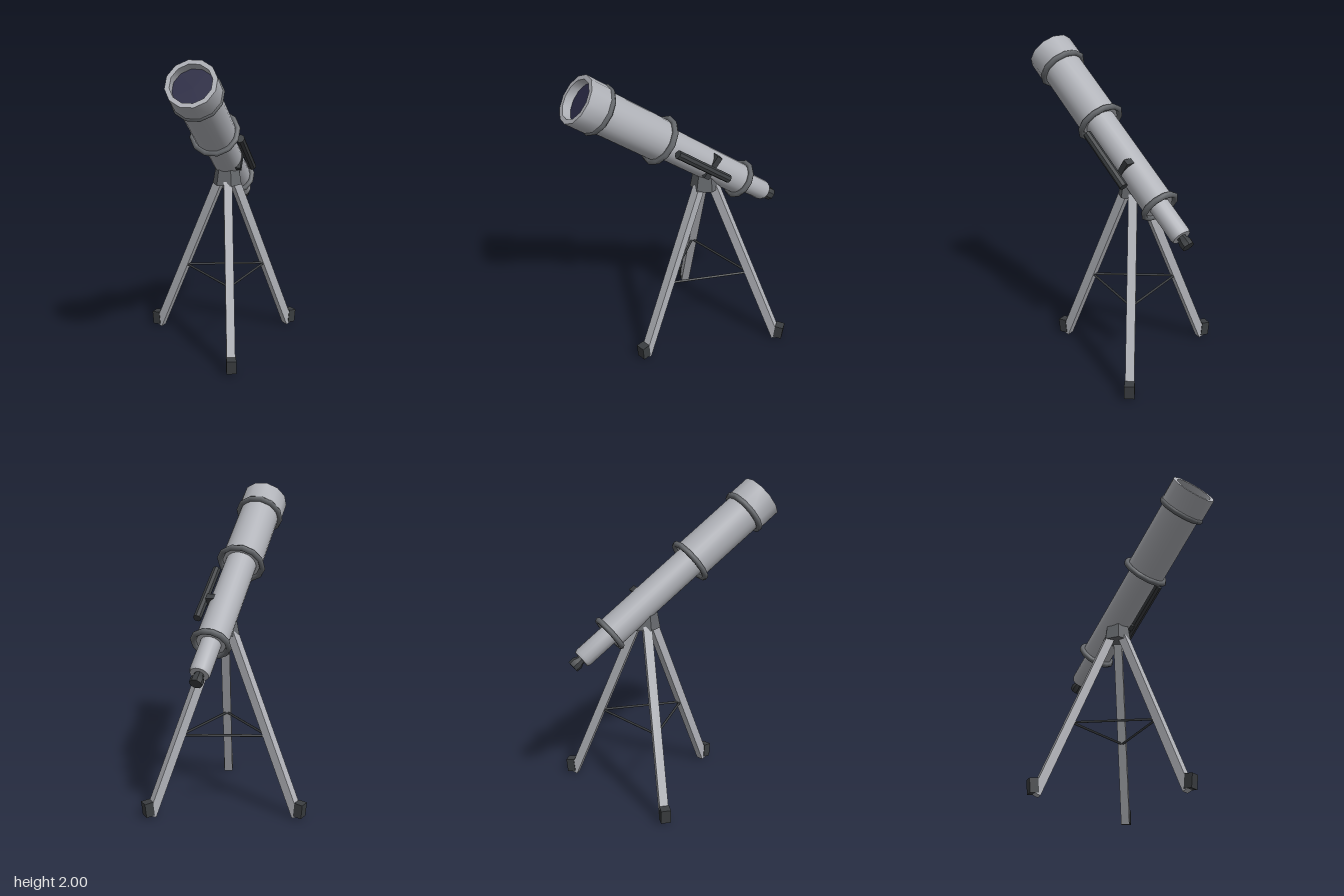
import * as THREE from 'three';
import { toCreasedNormals } from 'three/addons/utils/BufferGeometryUtils.js';

const paint = (name, color) => {
  const m = new THREE.MeshStandardMaterial({ color });
  m.name = name;
  return m;
};

export function createModel() {
  const lightGrey = paint('lightGrey', 0xb0b2b8);
  const midGrey = paint('midGrey', 0x66696d);
  const darkGrey = paint('darkGrey', 0x3a3d40);
  const glass = paint('darkGlass', 0x2a2a45);

  const model = new THREE.Group();
  model.name = 'telescope';

  const add = (parent, name, geometry, material, x = 0, y = 0, z = 0) => {
    const mesh = new THREE.Mesh(geometry, material);
    mesh.name = name;
    mesh.position.set(x, y, z);
    parent.add(mesh);
    return mesh;
  };

  // Turned part: profile runs upwards along the outside
  const turned = (profile, sides) => {
    const g = new THREE.LatheGeometry(profile.map(([r, y]) => new THREE.Vector2(r, y)), sides, Math.PI / sides);
    return toCreasedNormals(g, 0.6);
  };

  // Straight bar between two points, kept square to the given yaw
  const bar = (parent, name, a, b, geometryFor, material, yaw = 0) => {
    const dir = b.clone().sub(a);
    const mesh = add(parent, name, geometryFor(dir.length()), material);
    mesh.position.copy(a).add(b).multiplyScalar(0.5);
    mesh.quaternion.setFromUnitVectors(new THREE.Vector3(0, 1, 0), dir.normalize());
    mesh.quaternion.multiply(new THREE.Quaternion().setFromAxisAngle(new THREE.Vector3(0, 1, 0), yaw));
    return mesh;
  };

  // Optical tube: local +y points out of the front opening, origin at its rim
  const tube = new THREE.Group();
  tube.name = 'opticalTube';
  tube.position.set(0.077, 1.879, 0.632);
  tube.rotation.x = 0.947;
  model.add(tube);

  add(tube, 'mainTube', turned([[0, -1.324], [0.1, -1.324], [0.1, -0.633], [0.13, -0.633], [0.13, -0.15], [0, -0.15]], 24), lightGrey);
  add(tube, 'lensHood', turned([[0.12, -0.155], [0.152, -0.155], [0.152, 0], [0.124, 0], [0.124, -0.075]], 12), lightGrey);
  const lens = add(tube, 'frontLens', new THREE.CircleGeometry(0.123, 24), glass, 0, -0.057, 0);
  lens.rotation.x = -Math.PI / 2;
  add(tube, 'drawTube', turned([[0, -1.564], [0.058, -1.564], [0.065, -1.545], [0.065, -1.3]], 16), lightGrey);
  add(tube, 'eyepiece', turned([[0, -1.635], [0.04, -1.635], [0.042, -1.6], [0.03, -1.575], [0.03, -1.55]], 8), darkGrey);

  // Collar rings
  for (const [name, radius, y] of [['frontRing', 0.142, -0.155], ['middleRing', 0.142, -0.633], ['rearRing', 0.111, -1.324]]) {
    const g = new THREE.TorusGeometry(radius, 0.019, 6, 12);
    g.rotateZ(Math.PI / 12);
    g.rotateX(Math.PI / 2);
    add(tube, name, g, midGrey, 0, y, 0);
  }

  // Finder scope and its bracket on the left side
  add(tube, 'finderScope', toCreasedNormals(new THREE.CylinderGeometry(0.027, 0.027, 0.433, 8), 0.6), darkGrey, 0.148, -0.914, 0);
  add(tube, 'finderBracket', new THREE.BoxGeometry(0.06, 0.04, 0.16), darkGrey, 0.072, -1.02, -0.008);

  // Tripod
  const tripod = new THREE.Group();
  tripod.name = 'tripod';
  tripod.position.set(0.077, 0, -0.2);
  model.add(tripod);

  const head = toCreasedNormals(new THREE.CylinderGeometry(0.076, 0.097, 0.125, 6), 0.6);
  head.rotateY(Math.PI / 2);
  add(tripod, 'mountHead', head, midGrey, 0, 1.175, 0);

  const angles = [72.5, 192.5, 312.5].map(THREE.MathUtils.degToRad);
  const at = (angle, r, y) => new THREE.Vector3(Math.cos(angle) * r, y, Math.sin(angle) * r);

  angles.forEach((angle, i) => {
    // Each leg is built along local +x and turned into place
    const leg = new THREE.Group();
    leg.name = 'leg' + (i + 1);
    leg.rotation.y = -angle;
    tripod.add(leg);
    bar(leg, 'legBar', new THREE.Vector3(0.528, 0.012, 0), new THREE.Vector3(0.055, 1.13, 0),
      (h) => new THREE.BoxGeometry(0.055, h, 0.055), lightGrey);
    const foot = add(leg, 'foot', new THREE.BoxGeometry(0.055, 0.09, 0.062), darkGrey, 0.545, 0.06, 0);
    foot.rotation.z = -0.1;

    // Spreader rod to the next leg
    bar(tripod, 'spreader' + (i + 1), at(angle, 0.31, 0.5), at(angles[(i + 1) % 3], 0.31, 0.5),
      (h) => new THREE.CylinderGeometry(0.008, 0.008, h, 6), darkGrey);
  });

  return model;
}
